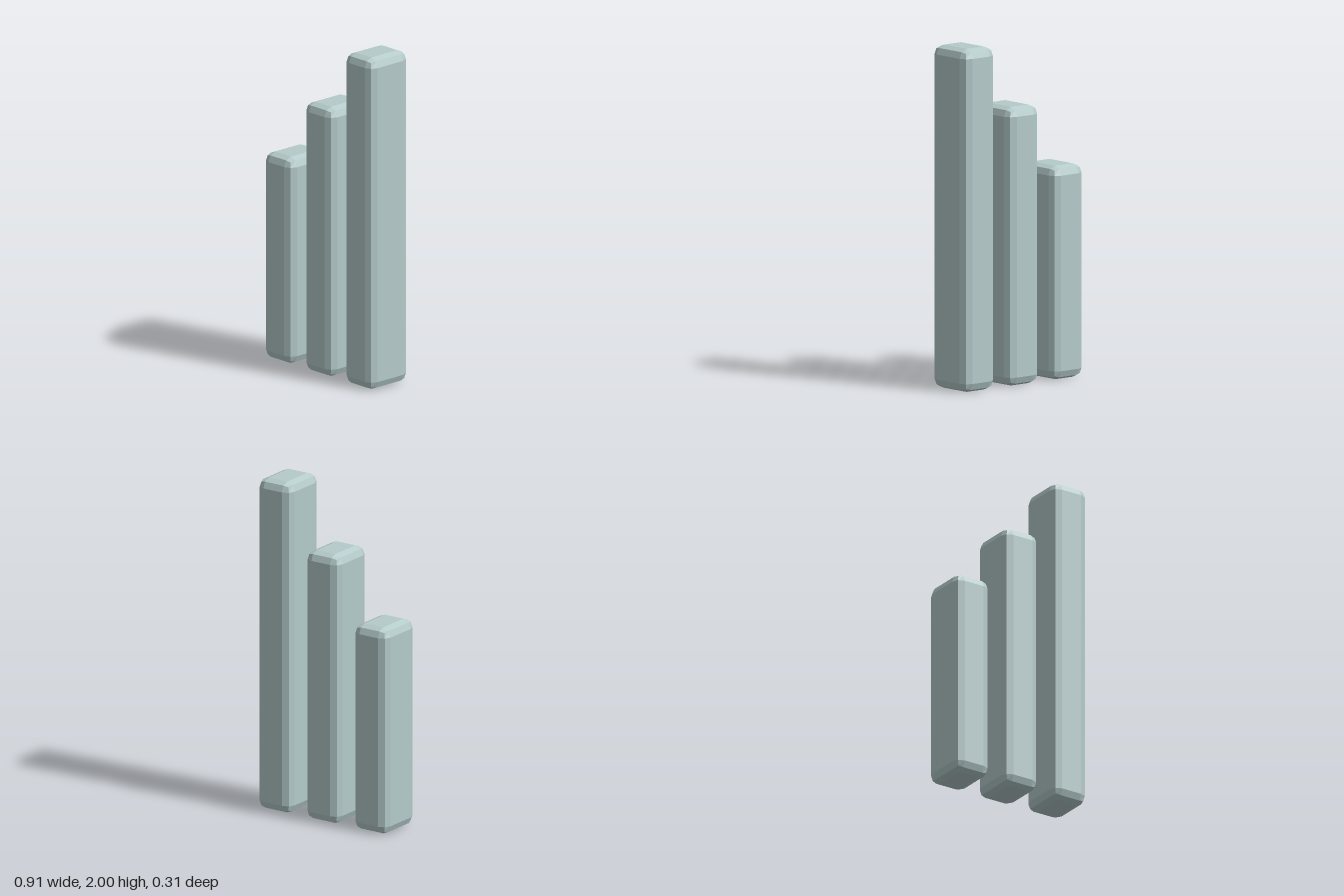
import * as THREE from 'three';
import { RoundedBoxGeometry } from 'three/addons/geometries/RoundedBoxGeometry.js';

export function createModel() {
  const model = new THREE.Group();
  model.name = 'barChart';
  const material = new THREE.MeshStandardMaterial({ color: 0xb5cbcb, flatShading: true });

  // Three bevelled bars rising from right to left
  const bars = [
    ['shortBar', -0.338, 1.245],
    ['middleBar', 0, 1.625],
    ['tallBar', 0.338, 2],
  ];
  for (const [name, x, height] of bars) {
    const bar = new THREE.Mesh(new RoundedBoxGeometry(0.236, height, 0.305, 1, 0.0525), material);
    bar.name = name;
    bar.position.set(x, height / 2, 0);
    model.add(bar);
  }
  return model;
}
